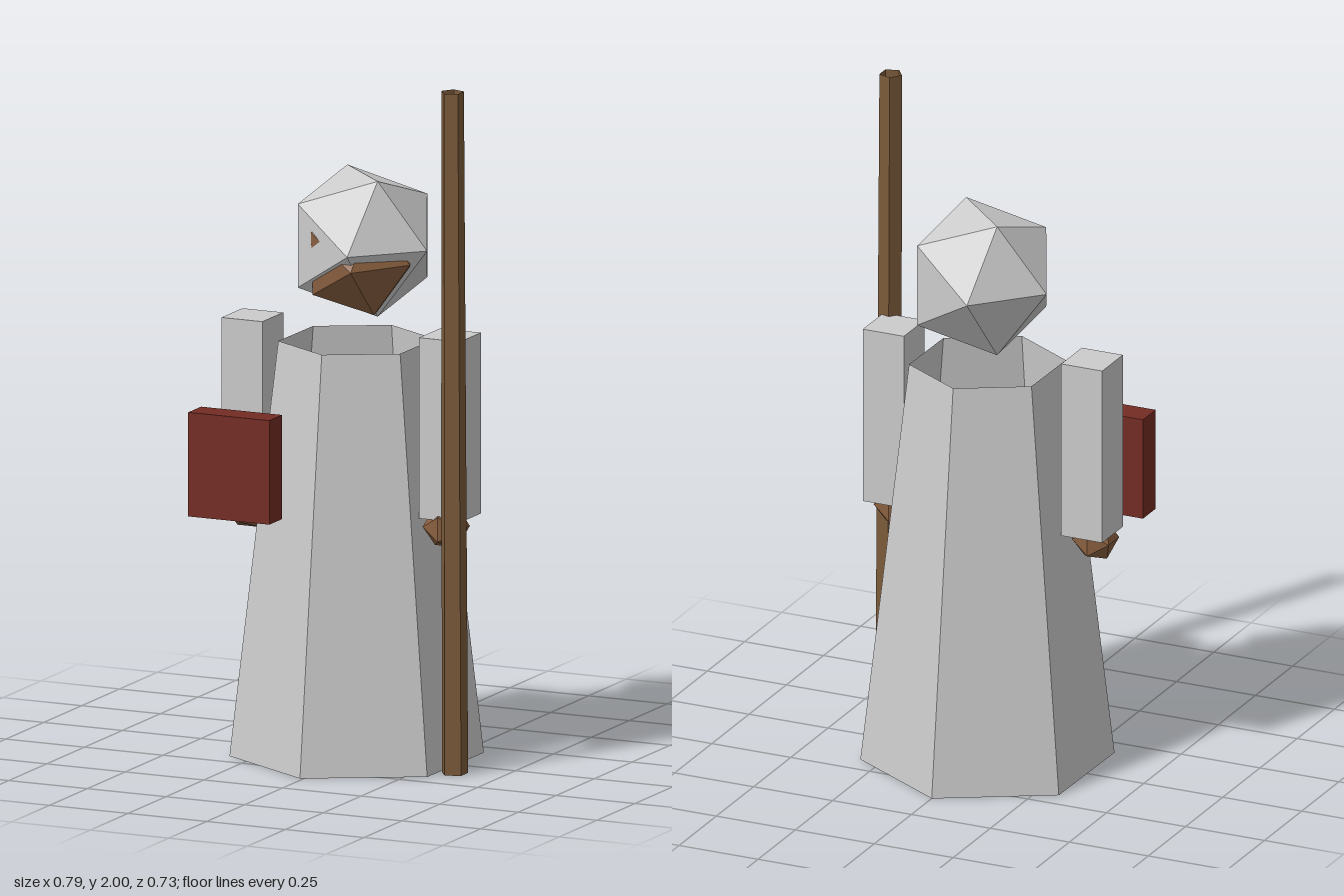
import * as THREE from 'three';

const material = (color, side = THREE.FrontSide) =>
  new THREE.MeshStandardMaterial({ color, side, flatShading: true });

export function createModel() {
  const model = new THREE.Group();
  model.name = 'robedFigure';

  const cloth = material(0xcccccc);
  const openCloth = material(0xcccccc, THREE.DoubleSide);
  const skin = material(0x8a6040);
  const wood = material(0x7a5a3a, THREE.DoubleSide);
  const leather = material(0x742c24);

  const add = (name, geometry, mat, position, rotation = [0, 0, 0]) => {
    const mesh = new THREE.Mesh(geometry, mat);
    mesh.name = name;
    mesh.position.set(...position);
    mesh.rotation.set(...rotation);
    model.add(mesh);
    return mesh;
  };

  // Hollow six-sided robe, open at neck and hem
  add('robe', new THREE.CylinderGeometry(0.225, 0.365, 1.215, 6, 1, true),
    openCloth, [-0.005, 0.6075, 0], [0, -0.012, 0]);

  // Faceted hood with the face breaking through its front
  add('hood', new THREE.IcosahedronGeometry(0.233), cloth,
    [-0.008, 1.497, -0.045], [0, -0.76, 0]);
  add('face', new THREE.IcosahedronGeometry(0.176), skin,
    [0.008, 1.46, 0.006], [0.06, -0.72, 0]);

  // Sleeves with a hand under each
  for (const [side, sleeveX, handX] of [['left', 0.308, 0.305], ['right', -0.32, -0.323]]) {
    add(side + 'Sleeve', new THREE.BoxGeometry(0.13, 0.53, 0.138), cloth,
      [sleeveX, 1, 0.034]);
    add(side + 'Hand', new THREE.IcosahedronGeometry(0.068), skin,
      [handX, 0.708, 0.052]);
  }

  // Book in front of the right hand
  add('book', new THREE.BoxGeometry(0.258, 0.305, 0.085), leather,
    [-0.266, 0.8725, 0.26]);

  // Five-sided tapering staff, open at both ends
  add('staff', new THREE.CylinderGeometry(0.034, 0.04, 2, 5, 1, true, -Math.PI / 2),
    wood, [0.358, 1, 0.1155], [0.007, 0, 0]);

  return model;
}
